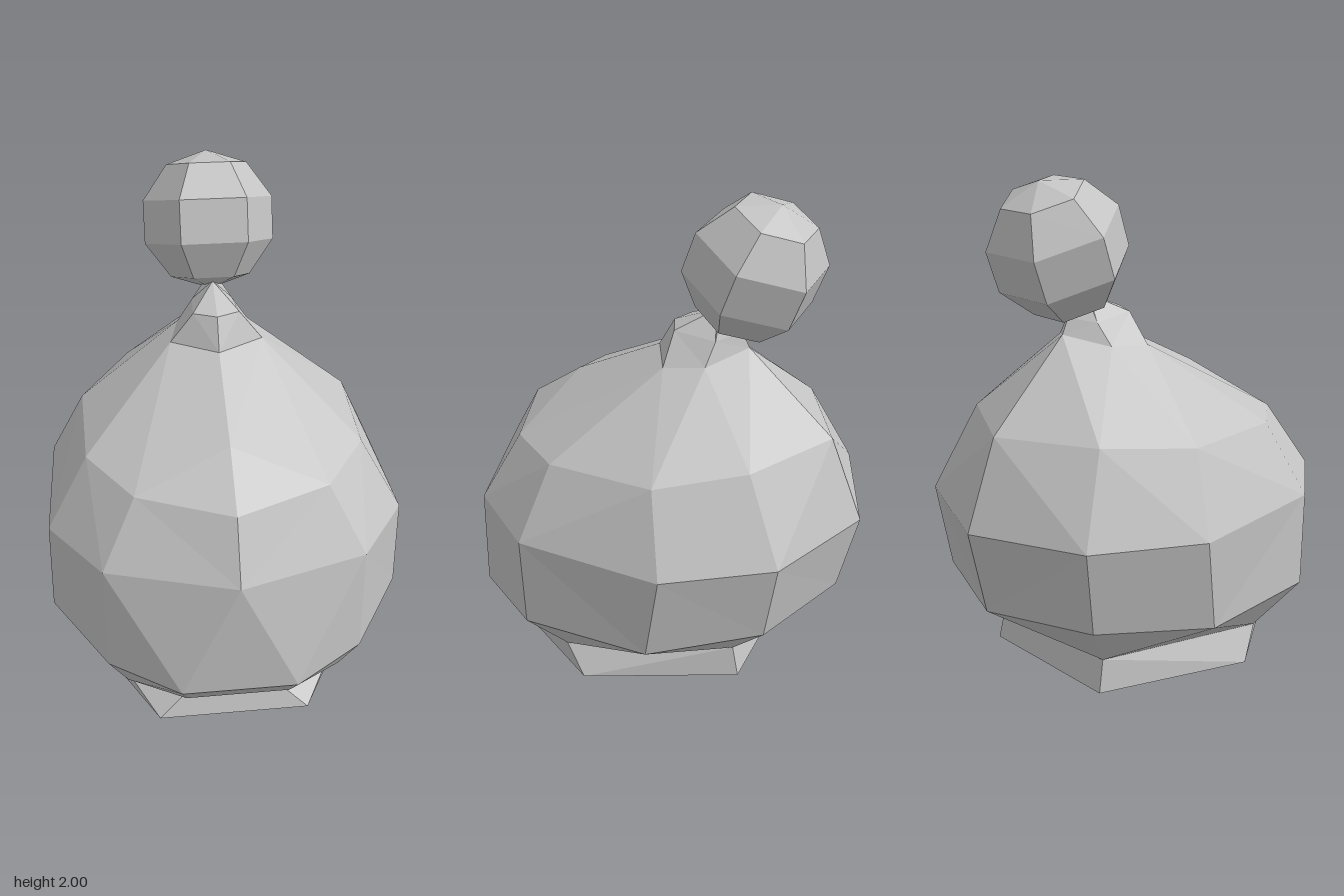
import * as THREE from 'three';

const V = (p) => new THREE.Vector3(...p);

// Half rings on the left side, each running from front to back, bottom to top.
const floorPoint = [[0, 0, 0.1]];
const footBottom = [[0, 0.01, 0.63], [0.3, 0.01, 0.63], [0.57, 0.035, 0.15], [0.3, 0.045, -0.43], [0, 0.045, -0.43]];
const footTop = [[0, 0.115, 0.59], [0.18, 0.115, 0.59], [0.54, 0.165, 0.24], [0.29, 0.18, -0.4], [0, 0.18, -0.4]];
const underside = [[0, 0.215, 0.73], [0.2, 0.215, 0.73], [0.42, 0.21, 0.6], [0.54, 0.165, 0.24], [0.29, 0.18, -0.4], [0, 0.18, -0.4]];
const lowBelly = [[0, 0.31, 0.8], [0.22, 0.31, 0.8], [0.49, 0.34, 0.64], [0.7, 0.39, 0.32], [0.67, 0.39, -0.19], [0.41, 0.42, -0.57], [0, 0.42, -0.73]];
const midBelly = [[0, 0.77, 0.77], [0.49, 0.77, 0.62], [0.69, 0.77, 0.33], [0.68, 0.77, -0.25], [0.43, 0.77, -0.62], [0, 0.77, -0.8]];
const shoulder = [[0, 1.0, 0.645], [0.36, 1.02, 0.51], [0.53, 1.05, 0.27], [0.54, 1.07, -0.16], [0.34, 1.1, -0.46], [0, 1.11, -0.66]];
const upperShoulder = [[0, 1.16, 0.43], ...shoulder.slice(1)];
const neckBase = [[0, 1.355, 0.065], [0.18, 1.36, -0.035], [0.14, 1.375, -0.19], [0, 1.42, -0.31]];
const collar = [[0, 1.475, 0], [0.09, 1.475, -0.04], [0.08, 1.46, -0.205], [0, 1.48, -0.28]];
const neckTip = [[0, 1.55, -0.17], [0.03, 1.54, -0.2], [0.02, 1.54, -0.24], [0, 1.54, -0.25]];

// Joins stacked half rings with triangles along the shorter diagonal, then mirrors them.
function skin(rings) {
  const out = [];
  const add = (a, b, c) => {
    if (new THREE.Triangle(V(a), V(b), V(c)).getArea() < 1e-6) return;
    const m = ([x, y, z]) => [-x, y, z];
    out.push(...a, ...b, ...c, ...m(a), ...m(c), ...m(b));
  };
  for (let k = 0; k + 1 < rings.length; k++) {
    const lo = rings[k], hi = rings[k + 1];
    let i = 0, j = 0;
    while (i < lo.length - 1 || j < hi.length - 1) {
      const stepLow = j === hi.length - 1 || (i < lo.length - 1 &&
        V(lo[i + 1]).distanceTo(V(hi[j])) < V(lo[i]).distanceTo(V(hi[j + 1])));
      if (stepLow) {
        add(lo[i], lo[i + 1], hi[j]);
        i++;
      } else {
        add(lo[i], hi[j + 1], hi[j]);
        j++;
      }
    }
  }
  const geometry = new THREE.BufferGeometry();
  geometry.setAttribute('position', new THREE.Float32BufferAttribute(out, 3));
  geometry.computeVertexNormals();
  return geometry;
}

export function createModel() {
  const model = new THREE.Group();
  const grey = new THREE.MeshStandardMaterial({ color: 0xc4c4c4, flatShading: true });
  grey.name = 'light grey';

  const add = (name, geometry) => {
    const mesh = new THREE.Mesh(geometry, grey);
    mesh.name = name;
    model.add(mesh);
    return mesh;
  };

  // Six-sided flared foot
  add('foot', skin([floorPoint, footBottom, footTop]));

  // Faceted rounded body
  add('body', skin([footTop, underside, lowBelly, midBelly, shoulder, upperShoulder, neckBase]));

  // Small stepped neck
  add('neck', skin([neckBase, collar, neckTip]));

  // Faceted ball, leaning back on the neck
  const ball = add('ball', new THREE.SphereGeometry(0.268, 6, 5));
  ball.position.set(0, 1.745, -0.32);
  ball.rotation.x = -0.34;

  return model;
}
